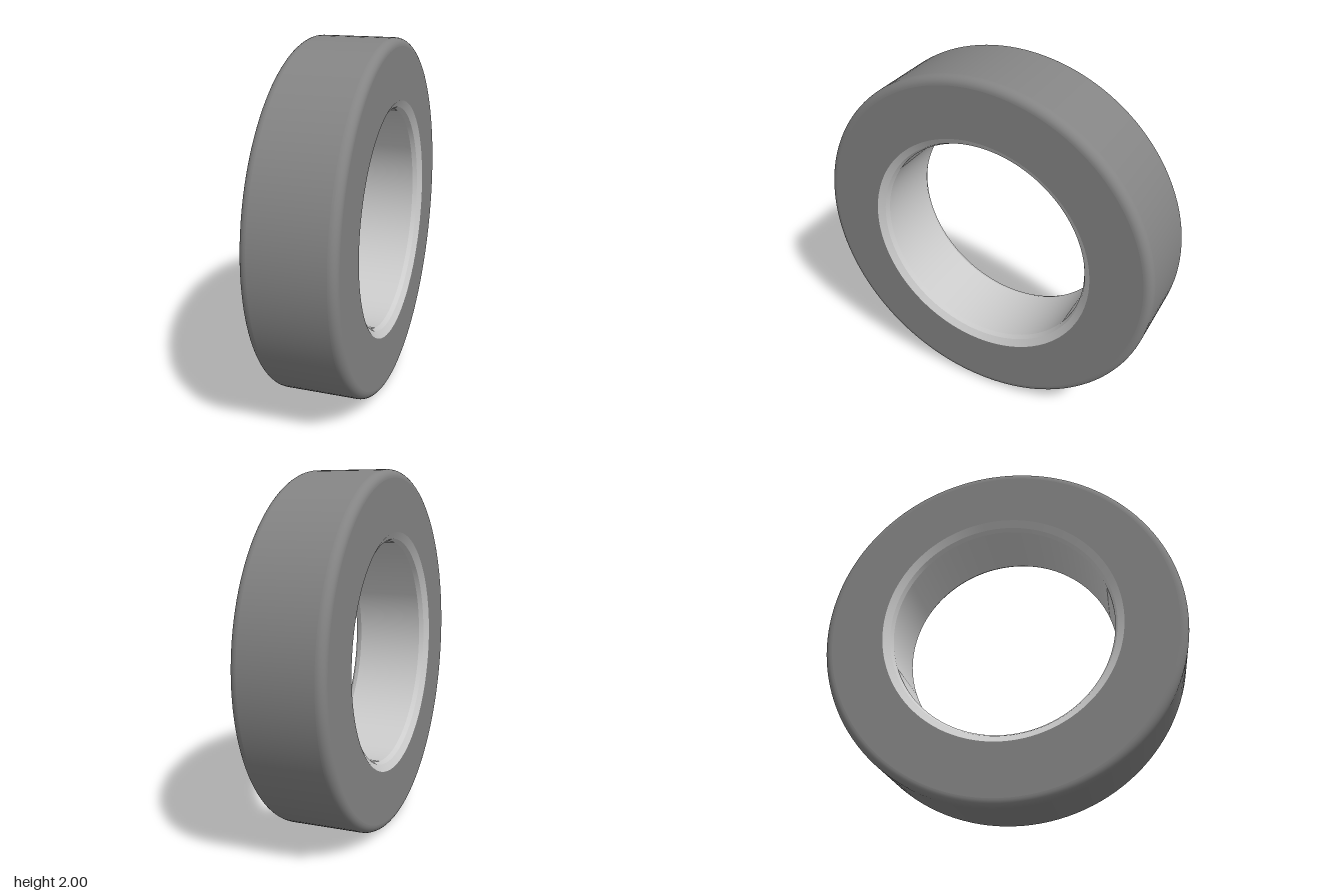
import * as THREE from 'three';
import { mergeGeometries } from 'three/addons/utils/BufferGeometryUtils.js';

const SEGMENTS = 128;
const HALF = 0.245;   // half width
const OUTER = 1;      // tread radius
const ROUND = 0.045;  // shoulder rounding
const SEAT = 0.665;   // where tyre meets sleeve
const LIP = 0.628;    // inner edge of the chamfer
const BORE = 0.615;   // hole radius

// Each run of [radius, axial] points is smooth; edges between runs stay sharp.
function revolve(name, runs, material) {
  const parts = runs.map((run) =>
    new THREE.LatheGeometry(run.map(([r, a]) => new THREE.Vector2(r, a)), SEGMENTS));
  const mesh = new THREE.Mesh(mergeGeometries(parts).rotateZ(Math.PI / 2), material);
  mesh.name = name;
  return mesh;
}

// Reflect a run to the other side, reversing it to keep faces outward.
const mirror = (run) => run.map(([r, a]) => [r, -a]).reverse();

export function createModel() {
  const group = new THREE.Group();
  group.name = 'tyre';
  const rubber = new THREE.MeshStandardMaterial({ color: 0x848484 });
  const light = new THREE.MeshStandardMaterial({ color: 0xcccccc });

  // Solid tyre: flat tread, rounded shoulders, flat side walls
  const shoulder = [];
  for (let i = 0; i <= 8; i++) {
    const t = (i / 8) * Math.PI / 2;
    shoulder.push([
      OUTER - ROUND + ROUND * Math.cos(t),
      HALF - ROUND + ROUND * Math.sin(t),
    ]);
  }
  const wall = [[OUTER - ROUND, HALF], [SEAT, HALF]];
  const tread = [[OUTER, -HALF + ROUND], [OUTER, HALF - ROUND]];
  group.add(revolve('solidTyre',
    [tread, shoulder, mirror(shoulder), wall, mirror(wall)], rubber));

  // Inner sleeve: chamfered rims, short lead-in and straight bore
  const chamfer = [[SEAT, HALF], [LIP, HALF - 0.025]];
  const leadIn = [[LIP, HALF - 0.025], [BORE, HALF - 0.05]];
  const bore = [[BORE, HALF - 0.05], [BORE, -HALF + 0.05]];
  group.add(revolve('innerSleeve',
    [chamfer, leadIn, bore, mirror(leadIn), mirror(chamfer)], light));

  group.position.y = OUTER;
  return group;
}
